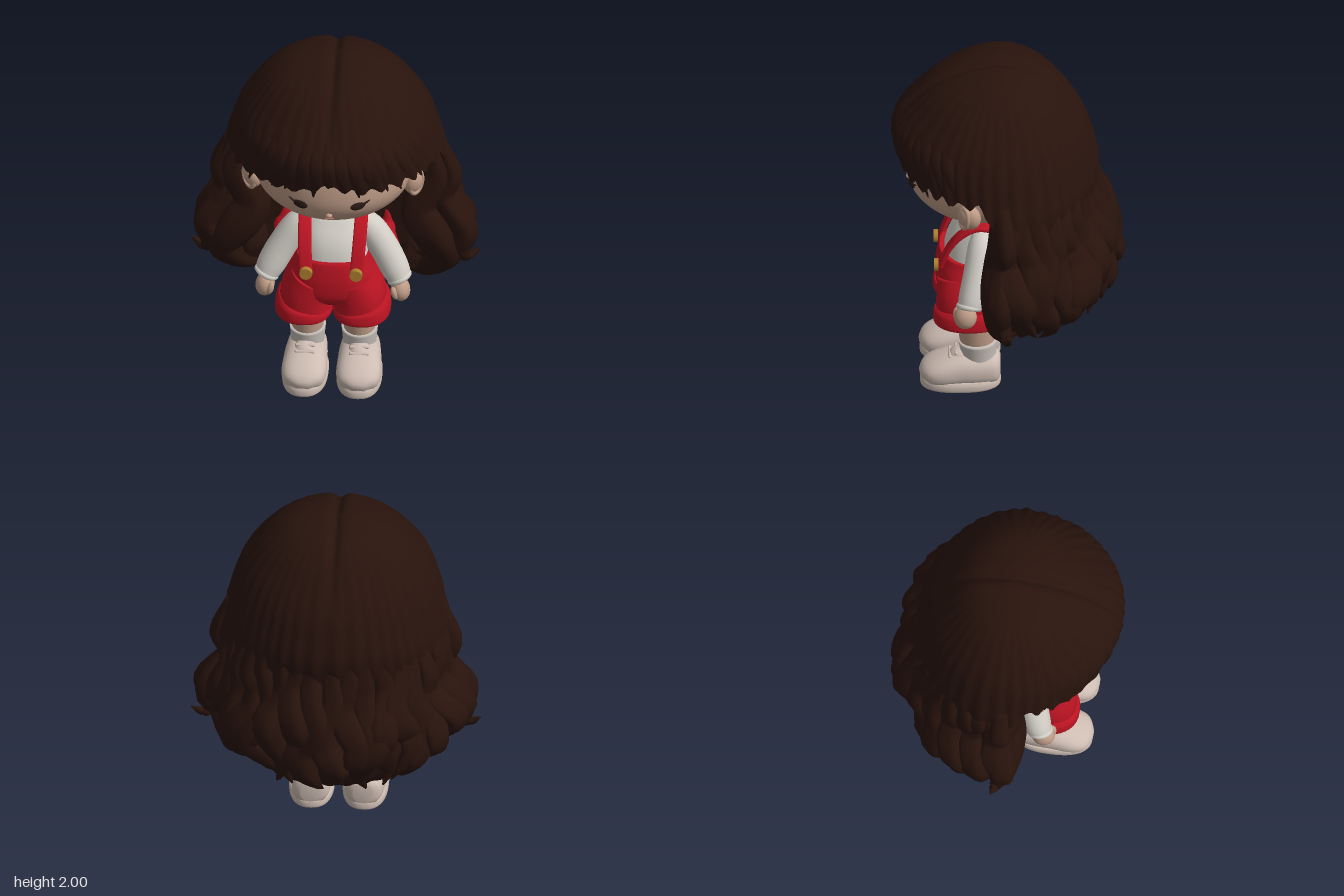
import * as THREE from 'three';
import { mergeVertices } from 'three/addons/utils/BufferGeometryUtils.js';

const mat = (color, side = THREE.FrontSide) => new THREE.MeshStandardMaterial({ color, side });
const M = {
  hair: mat(0x28130c, THREE.DoubleSide), skin: mat(0xbf9c87), red: mat(0xbb1422), shirt: mat(0xd2cec6),
  shoe: mat(0xcdbcb2), sock: mat(0xc4bcb6), gold: mat(0xb08030), dark: mat(0x2a1a16), lip: mat(0xa06a60),
};

// Surface from nu+1 rows of nv points, each given by fn(u, v)
function grid(nu, nv, fn) {
  const pos = [], idx = [];
  for (let i = 0; i <= nu; i++) for (let j = 0; j <= nv; j++) pos.push(...fn(i / nu, j / nv));
  for (let i = 0; i < nu; i++) for (let j = 0; j < nv; j++) {
    const a = i * (nv + 1) + j, b = a + nv + 1;
    idx.push(a, a + 1, b, a + 1, b + 1, b);
  }
  let g = new THREE.BufferGeometry();
  g.setAttribute('position', new THREE.Float32BufferAttribute(pos, 3));
  g.setIndex(idx);
  g = mergeVertices(g, 1e-5);
  g.computeVertexNormals();
  return g;
}

// Smooth interpolation of table rows at the given keys
function spline(keys, rows) {
  const n = rows[0].length;
  const s = new THREE.CubicInterpolant(new Float32Array(keys), new Float32Array(rows.flat()), n, new Float32Array(n));
  return t => Array.from(s.evaluate(t));
}

// Closed sweep along rows [x, y, z, halfWidth, halfThickness]; hint is the width direction
function sweep(rows, { hint = [1, 0, 0], nu = 20, nv = 20, pow = 1, groove = 0 } = {}) {
  const n = rows.length - 1, at = spline(rows.map((_, i) => i), rows), H = new THREE.Vector3(...hint);
  const sq = c => Math.sign(c) * Math.abs(c) ** pow;
  return grid(nu + 2, nv, (u, v) => {
    const k = Math.round(u * (nu + 2)) - 1, t = Math.min(Math.max(k / nu, 0), 1) * n;
    const [x, y, z, w, h] = at(t);
    if (k < 0 || k > nu) return [x, y, z];
    const a = at(Math.max(t - 0.02, 0)), b = at(Math.min(t + 0.02, n));
    const T = new THREE.Vector3(b[0] - a[0], b[1] - a[1], b[2] - a[2]).normalize();
    const S = H.clone().addScaledVector(T, -H.dot(T)).normalize(), N = T.clone().cross(S);
    const ang = (v % 1) * Math.PI * 2, g = 1 + groove * Math.cos(ang * 5);
    return new THREE.Vector3(x, y, z)
      .addScaledVector(S, Math.max(w, 0.002) * g * sq(Math.cos(ang)))
      .addScaledVector(N, Math.max(h, 0.002) * g * sq(Math.sin(ang))).toArray();
  });
}

// Hair outline: height, half width, front depth, back depth
const OUT = [
  [2, 0, 0, 0], [1.985, 0.14, 0.1, 0.1], [1.95, 0.25, 0.21, 0.2], [1.86, 0.37, 0.37, 0.31], [1.76, 0.45, 0.47, 0.38],
  [1.68, 0.5, 0.54, 0.43], [1.6, 0.535, 0.58, 0.47], [1.5, 0.565, 0.57, 0.5], [1.4, 0.59, 0.54, 0.525], [1.3, 0.62, 0.52, 0.535],
  [1.2, 0.66, 0.5, 0.545], [1.05, 0.64, 0.5, 0.59], [0.95, 0.7, 0.5, 0.64], [0.85, 0.75, 0.5, 0.63], [0.78, 0.74, 0.5, 0.65],
  [0.68, 0.67, 0.5, 0.62], [0.58, 0.6, 0.5, 0.58], [0.48, 0.5, 0.5, 0.48],
];
const outline = spline(OUT.map(r => Math.sqrt(2 - r[0])), OUT.map(r => r.slice(1)));
function hairPoint(th, y, k = 1) {
  const [X, F, B] = outline(Math.sqrt(Math.max(2 - y, 0)));
  const c = Math.cos(th);
  return [k * X * Math.sin(th), y, 0.05 + k * c * (c > 0 ? F : B)];
}

export function createModel() {
  const model = new THREE.Group();
  const add = (name, geo, material, p = [0, 0, 0], s = [1, 1, 1], r = [0, 0, 0], parent = model) => {
    const m = new THREE.Mesh(geo, material);
    m.name = name;
    m.position.set(...p); m.scale.set(...s); m.rotation.set(...r);
    parent.add(m);
  };
  const ball = new THREE.SphereGeometry(1, 24, 14);

  // Head: broad low cheeks, taller skull
  const skull = new THREE.SphereGeometry(1, 48, 36), sp = skull.attributes.position;
  for (let i = 0; i < sp.count; i++) {
    const y = sp.getY(i);
    sp.setXYZ(i, sp.getX(i) * 0.43, y < 0 ? -0.27 * (-y) ** 0.88 : y * 0.5, sp.getZ(i) * 0.41);
  }
  skull.computeVertexNormals();
  add('head', skull, M.skin, [0, 1.35, 0.15]);
  add('nose', ball, M.skin, [0, 1.25, 0.54], [0.018, 0.014, 0.018]);
  add('mouth', ball, M.lip, [0, 1.215, 0.52], [0.026, 0.006, 0.01]);
  add('neck', sweep([[0, 0.98, 0.13, 0.08, 0.08], [0, 1.05, 0.13, 0.075, 0.075], [0, 1.14, 0.14, 0.08, 0.08]]), M.skin);

  // Hair cap: fringe in front, longer behind the ears where it tucks under the locks, centre parting
  const edge = th => {
    const a = Math.abs(Math.atan2(Math.sin(th), Math.cos(th)));
    const front = 1.425 + 0.05 * Math.exp(-((a / 0.2) ** 2)) + 0.02 * Math.sin(a * 34);
    return THREE.MathUtils.lerp(front, 1.12, THREE.MathUtils.smoothstep(a, 1.35, 1.68));
  };
  add('hairCap', grid(36, 200, (u, v) => {
    const th = -(v % 1) * Math.PI * 2;
    const y = 2 - (2 - edge(th)) * u * u;
    const tuck = 0.1 * (1 - THREE.MathUtils.smoothstep(y, 1.12, 1.38));
    const p = hairPoint(th, y, 1 - tuck + 0.012 * u * Math.sin(th * 40 + 2 * Math.sin(th * 5)));
    p[1] -= 0.03 * Math.exp(-((p[0] / 0.03) ** 2)) * THREE.MathUtils.smoothstep(y, 1.6, 1.85);
    return p;
  }), M.hair);

  // Fringe strands
  for (let i = 0; i < 17; i++) {
    const th = (i - 8) * 0.14, end = edge(th) - 0.025 + 0.03 * Math.sin(i * 2.4);
    const rows = [[1.76, 0.92, 0.02], [1.64, 0.97, 0.045], [1.53, 0.975, 0.035], [end, 0.97, 0.004]]
      .map(([y, k, w], j) => [...hairPoint(th * (0.85 + 0.06 * j), y, k), w, w * 0.5]);
    add('fringeStrand', sweep(rows, { hint: [Math.cos(th), 0, -Math.sin(th)], nu: 12, nv: 10 }), M.hair);
  }

  // Solid mass of back hair, closed just behind the body
  add('backHair', grid(42, 120, (u, v) => {
    if (u === 0 || u === 1) return [0, u ? 0.5 : 1.5, -0.25];
    const y = 1.5 - (u - 1 / 42) * 1.02, w = (v % 1) * 2, a = 1.78, span = Math.PI * 2 - 2 * a;
    if (w <= 1) return hairPoint(a + span * (1 - w), y, 0.91 + 0.012 * Math.sin(w * 90));
    const th = a + span * (w - 1), [X, , B] = outline(Math.sqrt(2 - y));
    return [0.8 * X * Math.sin(th), y, 0.1 * B * Math.cos(th)];
  }), M.hair);

  // Wavy locks in three layers, the inner ones curling in towards the body
  const lock = (name, th, y0, y1, k, w, phase, material) => {
    const rows = [], n = 9;
    for (let i = 0; i <= n; i++) {
      const t = i / n, y = y0 + (y1 - y0) * t, amp = Math.min(1, t * 1.6);
      const kk = k + 0.045 * amp * Math.sin(phase + i * 1.5) + (i === n ? 0.05 : 0);
      const r = w * Math.min(1, 0.35 + t * 1.3) * (t > 0.75 ? Math.max(0.06, (1 - t) * 4) : 1);
      rows.push([...hairPoint(th + 0.07 * amp * Math.sin(phase * 1.7 + i * 1.3), y, kk), r, r * 0.75]);
    }
    add(name, sweep(rows, { hint: [Math.cos(th), 0, -Math.sin(th)], nu: 28, groove: 0.06 }), material);
  };
  const layer = (name, count, start, fn) => {
    for (let i = 0; i < count; i++) lock(name, start + i * (Math.PI * 2 - 2 * start) / (count - 1), ...fn(i));
  };
  layer('outerLock', 19, 1.68, i => [1.45, 0.54 + 0.05 * Math.sin(i * 2.1), 0.91, 0.09, i * 1.1, M.hair]);
  layer('underLock', 13, 1.85, i => [1.0, 0.46 + 0.02 * Math.sin(i * 1.7), 0.7, 0.11, i * 1.9, i > 3 && i < 9 ? M.red : M.hair]);
  layer('innerLock', 7, 2.15, i => [0.9, 0.45 + 0.02 * Math.sin(i * 1.3), 0.42, 0.11, i * 1.6, M.red]);

  for (const s of [1, -1]) {
    const mx = rows => rows.map(([x, ...r]) => [s * x, ...r]);
    // Locks falling beside the arms, with an outward flick
    add('sideLock', sweep(mx([[0.5, 1.42, 0.06, 0.04, 0.04], [0.54, 1.2, 0.06, 0.08, 0.06], [0.45, 1.0, 0.06, 0.1, 0.08],
      [0.52, 0.85, 0.08, 0.11, 0.08], [0.6, 0.7, 0.06, 0.09, 0.07], [0.5, 0.58, 0.02, 0.06, 0.05], [0.38, 0.54, 0, 0.004, 0.004]]),
      { nu: 32, groove: 0.06 }), M.hair);
    add('flickLock', sweep(mx([[0.56, 1.42, 0.04, 0.03, 0.04], [0.62, 1.2, 0.03, 0.06, 0.06], [0.58, 1.05, 0.04, 0.06, 0.06],
      [0.69, 0.87, 0.05, 0.075, 0.08], [0.66, 0.74, 0.05, 0.07, 0.06], [0.71, 0.66, 0.02, 0.035, 0.03], [0.78, 0.7, 0, 0.003, 0.003]]),
      { nu: 32, groove: 0.06 }), M.hair);

    // Face sides
    add('eye', ball, M.dark, [s * 0.155, 1.31, 0.527], [0.042, 0.026, 0.01], [0, s * 0.36, s * 0.12]);
    add('lash', ball, M.dark, [s * 0.195, 1.325, 0.51], [0.03, 0.006, 0.01], [0, s * 0.4, s * 0.5]);
    add('ear', ball, M.skin, [s * 0.435, 1.28, 0.22], [0.05, 0.08, 0.065], [0, s * -0.4, s * -0.2]);
    add('earRim', new THREE.TorusGeometry(0.052, 0.014, 10, 28), M.skin, [s * 0.45, 1.28, 0.245], [0.7, 1.2, 1], [0, s * 0.6, s * -0.2]);

    // Arm
    add('sleeve', sweep(mx([[0.12, 0.97, 0.15, 0.05, 0.05], [0.19, 0.92, 0.15, 0.075, 0.075], [0.27, 0.8, 0.17, 0.08, 0.08],
      [0.33, 0.69, 0.2, 0.078, 0.075], [0.36, 0.63, 0.22, 0.065, 0.065]])), M.shirt);
    add('sleeveCuff', new THREE.TorusGeometry(0.055, 0.016, 10, 28), M.shirt, [s * 0.358, 0.638, 0.22], [1, 1, 1], [Math.PI / 2 - 0.15, s * 0.45, 0]);
    add('hand', ball, M.skin, [s * 0.365, 0.575, 0.24], [0.052, 0.068, 0.062], [0, 0, s * 0.15]);
    add('thumb', ball, M.skin, [s * 0.335, 0.575, 0.285], [0.02, 0.04, 0.022], [0, 0, s * 0.3]);

    // Overalls strap and button
    add('strap', sweep(mx([[0.135, 0.75, 0.375, 0.036, 0.014], [0.145, 0.88, 0.325, 0.036, 0.014], [0.15, 0.97, 0.255, 0.036, 0.014],
      [0.15, 1.015, 0.16, 0.036, 0.014], [0.14, 0.96, 0.06, 0.036, 0.014], [0.12, 0.75, 0.03, 0.036, 0.014]]), { pow: 0.5, nu: 30 }), M.red);
    add('button', new THREE.CylinderGeometry(0.034, 0.036, 0.025, 24), M.gold, [s * 0.135, 0.76, 0.395], [1, 1, 1], [Math.PI / 2, 0, 0]);

    // Shorts leg with turned-up cuff
    add('shortsLeg', sweep(mx([[0.145, 0.44, 0.215, 0.145, 0.18], [0.14, 0.55, 0.21, 0.14, 0.185], [0.1, 0.66, 0.21, 0.13, 0.18]]), { pow: 0.85, nv: 36 }), M.red);
    add('shortsCuff', sweep(mx([[0.155, 0.42, 0.215, 0.14, 0.18], [0.155, 0.432, 0.215, 0.156, 0.197], [0.155, 0.465, 0.215, 0.156, 0.197],
      [0.152, 0.49, 0.215, 0.15, 0.19], [0.15, 0.5, 0.215, 0.135, 0.17]]), { pow: 0.85, nv: 36 }), M.red);

    // Leg and sock
    add('leg', sweep(mx([[0.14, 0.22, 0.175, 0.08, 0.09], [0.14, 0.3, 0.175, 0.087, 0.097], [0.138, 0.47, 0.18, 0.097, 0.107]])), M.skin);
    add('sock', sweep(mx([[0.14, 0.14, 0.165, 0.088, 0.095], [0.14, 0.21, 0.17, 0.092, 0.098], [0.14, 0.28, 0.172, 0.098, 0.104]]),
      { nu: 8, nv: 32 }), M.sock);

    // Shoe: sole, upper, tongue, laces, heel tab
    const shoe = new THREE.Group();
    shoe.name = 'shoe';
    shoe.position.x = s * 0.14;
    shoe.rotation.y = s * 0.02;
    model.add(shoe);
    const addShoe = (name, geo, material, p, sc, r) => add(name, geo, material, p, sc, r, shoe);
    addShoe('sole', sweep([[0, 0, 0.265, 0.112, 0.207], [0, 0.012, 0.265, 0.122, 0.217], [0, 0.04, 0.265, 0.123, 0.217], [0, 0.06, 0.265, 0.116, 0.21]],
      { pow: 0.82, nv: 40 }), M.shoe);
    addShoe('shoeUpper', sweep([[0, 0.11, 0.05, 0.05, 0.06], [0, 0.11, 0.08, 0.095, 0.09], [0, 0.11, 0.18, 0.112, 0.1], [0, 0.11, 0.27, 0.117, 0.098],
      [0, 0.095, 0.37, 0.121, 0.083], [0, 0.08, 0.44, 0.1, 0.06], [0, 0.065, 0.478, 0.035, 0.025]], { pow: 0.85, nv: 32 }), M.shoe);
    addShoe('tongue', ball, M.shoe, [0, 0.185, 0.275], [0.06, 0.042, 0.06], [0.4, 0, 0]);
    for (let i = 0; i < 3; i++)
      addShoe('lace', new THREE.CapsuleGeometry(0.009, 0.09, 4, 10), M.shoe, [0, 0.214 - i * 0.02, 0.29 + i * 0.033], [1, 1, 1], [0, 0, Math.PI / 2]);
    addShoe('heelTab', ball, M.red, [0, 0.155, 0.085], [0.075, 0.035, 0.035]);
  }

  // Torso, collar and hips
  add('shirt', sweep([[0, 0.72, 0.2, 0.19, 0.165], [0, 0.85, 0.185, 0.18, 0.15], [0, 0.95, 0.16, 0.165, 0.11], [0, 1.0, 0.14, 0.135, 0.085],
    [0, 1.03, 0.13, 0.085, 0.075]], { pow: 0.85, nv: 36 }), M.shirt);
  add('collar', new THREE.TorusGeometry(0.085, 0.013, 10, 36), M.shirt, [0, 1.015, 0.14], [1, 1, 1], [Math.PI / 2 + 0.15, 0, 0]);
  add('shortsHips', sweep([[0, 0.52, 0.21, 0.17, 0.13], [0, 0.58, 0.21, 0.24, 0.18], [0, 0.67, 0.21, 0.235, 0.19], [0, 0.75, 0.205, 0.205, 0.185],
    [0, 0.785, 0.2, 0.195, 0.178]], { pow: 0.85, nv: 40 }), M.red);
  return model;
}
